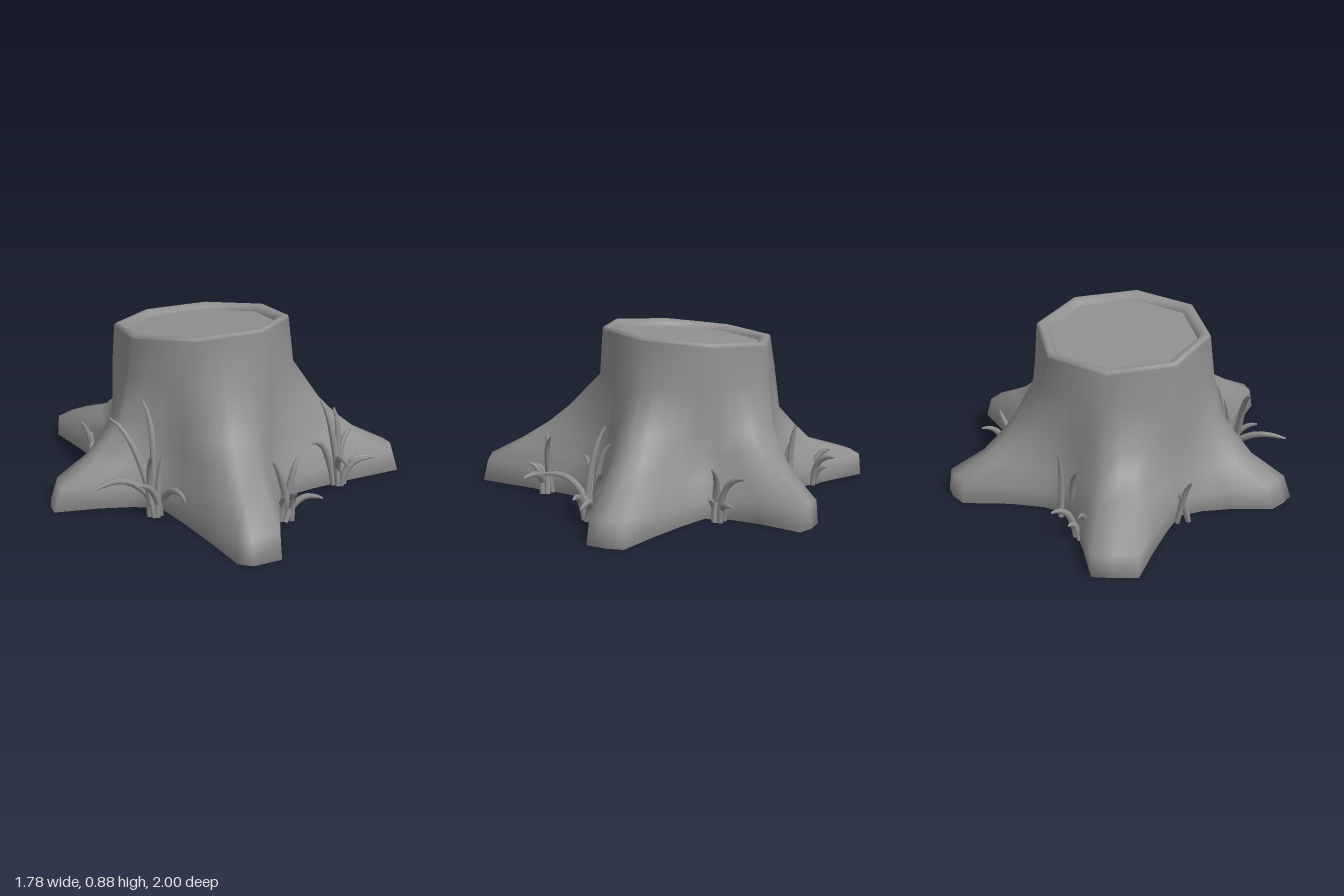
import * as THREE from 'three';

const material = new THREE.MeshStandardMaterial({ color: 0x909090, side: THREE.DoubleSide });

// Roots in order around the trunk: valley before the root, the two tip corners and
// tip middle as [x, z], how far out the ridge reaches at tip, knee and elbow height,
// and how much the sides are drawn in
const roots = [
  { valley: [0.2, -0.47], a: [0.75, -0.46], mid: [0.82, -0.4], b: [0.86, -0.33], tip: 0.97, knee: 0.62, elbow: 0.28, waist: 0.92 },
  { valley: [0.54, 0.04], a: [0.89, 0.52], mid: [0.85, 0.6], b: [0.78, 0.67], tip: 0.94, knee: 0.62, elbow: 0.28, waist: 0.97 },
  { valley: [0.07, 0.51], a: [-0.43, 1.0], mid: [-0.57, 0.96], b: [-0.61, 0.9], tip: 0.96, knee: 0.7, elbow: 0.33, waist: 0.98 },
  { valley: [-0.47, 0.2], a: [-0.89, -0.11], mid: [-0.86, -0.18], b: [-0.81, -0.25], tip: 0.91, knee: 0.52, elbow: 0.17, waist: 0.94 },
  { valley: [-0.35, -0.4], a: [-0.24, -0.97], mid: [-0.13, -0.99], b: [-0.02, -1.0], tip: 0.98, knee: 0.45, elbow: 0.1, waist: 0.98 },
];
const valleyReach = { tip: 0.95, knee: 0.6, elbow: 0.25 };

// Grass clumps: base x, z and blade tips relative to it as [dx, height, dz]
const clumps = [
  { x: -0.54, z: 0.24, tips: [[-0.3, 0.19, -0.08], [-0.11, 0.475, -0.2], [0.08, 0.525, -0.18], [-0.14, 0.2, 0.04], [-0.08, 0.34, 0.07], [-0.02, 0.16, 0.25], [0.04, 0.34, 0.04]] },
  { x: 0.41, z: 0.58, tips: [[-0.16, 0.2, 0.21], [-0.05, 0.445, -0.09], [0.05, 0.38, -0.09], [0.19, 0.115, 0.08], [-0.2, 0.27, -0.01], [0.13, 0.26, -0.04], [0.11, 0.14, 0.1]] },
  { x: -0.11, z: 0.71, tips: [[-0.07, 0.31, -0.02], [0.12, 0.12, 0.13], [0.09, 0.31, -0.01], [-0.01, 0.16, 0.08], [-0.06, 0.14, 0.04]] },
  { x: 0.59, z: -0.01, tips: [[0.15, 0.24, -0.08], [0.09, 0.28, 0.06], [0.13, 0.1, -0.03], [-0.02, 0.22, 0.01], [0.04, 0.12, 0.06]] },
  { x: 0.09, z: -0.67, tips: [[0.13, 0.17, -0.08], [-0.01, 0.18, -0.11], [0.05, 0.1, -0.07], [-0.02, 0.12, 0.06]] },
  { x: 0.2, z: -0.5, tips: [[0.03, 0.36, -0.03], [-0.06, 0.28, -0.06]] },
  { x: -0.38, z: -0.46, tips: [[-0.04, 0.25, -0.04], [0.02, 0.18, -0.03]] },
];

const lerp = THREE.MathUtils.lerp;
const mix = (p, q, t) => [lerp(p[0], q[0], t), lerp(p[1], q[1], t)];
const cutHeight = (z) => 0.838 + 0.088 * (z + 0.02);

// Joins closed rings of points, listed from bottom to top
function loft(rings) {
  const n = rings[0].length;
  const index = [];
  for (let k = 0; k < rings.length - 1; k++) {
    for (let i = 0; i < n; i++) {
      const a = k * n + i, b = k * n + (i + 1) % n;
      index.push(b, a, a + n, b, a + n, b + n);
    }
  }
  const geometry = new THREE.BufferGeometry();
  geometry.setAttribute('position', new THREE.Float32BufferAttribute(rings.flat(2), 3));
  geometry.setIndex(index);
  geometry.computeVertexNormals();
  return geometry;
}

function addMesh(parent, name, geometry) {
  const mesh = new THREE.Mesh(geometry, material);
  mesh.name = name;
  parent.add(mesh);
}

// Point on the octagonal trunk outline; five stations per side
function octagon(station, radius) {
  const corner = Math.floor(station / 5), t = station / 5 - corner;
  const at = (c) => [radius * Math.cos(c * Math.PI / 4), radius * Math.sin(c * Math.PI / 4) - 0.02];
  return mix(at(corner), at(corner + 1), t);
}

// Eight stations per root: valley, side, side, corner, middle, corner, side, side
function groundOutline() {
  return roots.flatMap((r, j) => {
    const next = roots[(j + 1) % roots.length].valley;
    const side = (v, c, t) => mix(v, c, t).map((n) => n * r.waist);
    return [r.valley, side(r.valley, r.a, 0.3), side(r.valley, r.a, 0.64), r.a, r.mid, r.b,
      side(next, r.b, 0.64), side(next, r.b, 0.3)];
  });
}

// One smooth skin: underside, roots and trunk
function trunkGeometry() {
  const ground = groundOutline();
  const ridge = [0, 0, 0.3, 0.8, 1, 0.8, 0.3, 0];
  const ownReach = [0, 0.5, 0.85, 1, 1, 1, 0.85, 0.5];
  const levels = [[0, () => 1], [0.09, (r) => r.tip], [0.19, (r) => r.knee],
    [0.29, (r) => (r.knee + r.elbow) * 0.47], [0.41, (r) => r.elbow], [0.62, () => 0.03], [null, () => 0]];
  const rings = levels.map(([y, reach], k) => ground.map((p, i) => {
    const top = octagon(i - 7, k === 5 ? 0.455 : 0.445);
    const f = lerp(reach(valleyReach), reach(roots[Math.floor(i / 8)]), ownReach[i % 8]);
    const [x, z] = mix(top, p, f);
    const lift = k > 0 && k < 4 ? 0.03 * ridge[i % 8] : 0;
    return [x, y === null ? cutHeight(z) - 0.018 : y + lift, z];
  }));
  const geometry = loft([ground.map(() => [0, 0, 0]), ...rings]);

  // Soften the shading at the ground edge and round it on the upper trunk
  const { position, normal } = geometry.attributes;
  const n = new THREE.Vector3(), radial = new THREE.Vector3();
  const count = ground.length;
  for (let i = 0; i < count; i++) {
    const base = count + i, upper = 6 * count + i, top = 7 * count + i;
    n.fromBufferAttribute(normal, base).setY(0).normalize().setY(-0.25).normalize();
    normal.setXYZ(base, n.x, n.y, n.z);
    radial.set(position.getX(top), 0.02, position.getZ(top) + 0.02).normalize();
    normal.setXYZ(top, radial.x, radial.y, radial.z);
    n.fromBufferAttribute(normal, upper).addScaledVector(radial, 1.5).normalize();
    normal.setXYZ(upper, n.x, n.y, n.z);
  }
  return geometry;
}

// Octagonal ring lying on the slanted cut
function cutRing(scale, drop) {
  return Array.from({ length: 8 }, (_, c) => {
    const [x, z] = octagon(c * 5, 0.445 * scale);
    return [x, cutHeight(z) - drop, z];
  });
}

// Tapered tube that bends over towards its tip and sways to one side
function bladeGeometry(x, z, [dx, h, dz], spread, sway) {
  const reach = Math.hypot(dx, dz);
  const curve = new THREE.QuadraticBezierCurve3(
    new THREE.Vector3(x + spread[0], 0, z + spread[1]),
    new THREE.Vector3(x + dx * 0.25 - dz * sway, h * 0.7 + reach * 0.4, z + dz * 0.25 + dx * sway),
    new THREE.Vector3(x + dx, h, z + dz));
  const segments = 10, sides = 6;
  const geometry = new THREE.TubeGeometry(curve, segments, 0.017, sides);
  const position = geometry.attributes.position;
  const point = new THREE.Vector3();
  for (let i = 0; i < position.count; i++) {
    const t = Math.floor(i / (sides + 1)) / segments;
    const width = t < 0.4 ? lerp(0.85, 1, t / 0.4) : lerp(1, 0.3, ((t - 0.4) / 0.6) ** 3);
    point.fromBufferAttribute(position, i).lerp(curve.getPointAt(t), 1 - width);
    position.setXYZ(i, point.x, Math.max(0, point.y), point.z);
  }
  return geometry;
}

export function createModel() {
  const model = new THREE.Group();
  model.name = 'treeStump';

  addMesh(model, 'trunkAndRoots', trunkGeometry());

  // Rounded bark rim around the recessed cut face
  const rimProfile = [[1, 0.018], [0.99, 0.004], [0.96, 0], [0.91, 0.006], [0.87, 0.02], [0.855, 0.04]];
  addMesh(model, 'barkRim', loft(rimProfile.map(([scale, drop]) => cutRing(scale, drop))));
  addMesh(model, 'cutFace', loft([cutRing(0.86, 0.034), cutRing(0, 0.034)]));

  // Grass around the roots
  for (const { x, z, tips } of clumps) {
    const clump = new THREE.Group();
    clump.name = 'grassClump';
    tips.forEach((tip, i) => {
      const angle = i * 2.4;
      const spread = [0.03 * Math.cos(angle), 0.03 * Math.sin(angle)];
      addMesh(clump, 'grassBlade', bladeGeometry(x, z, tip, spread, i % 2 ? -0.2 : 0.2));
    });
    model.add(clump);
  }
  return model;
}
